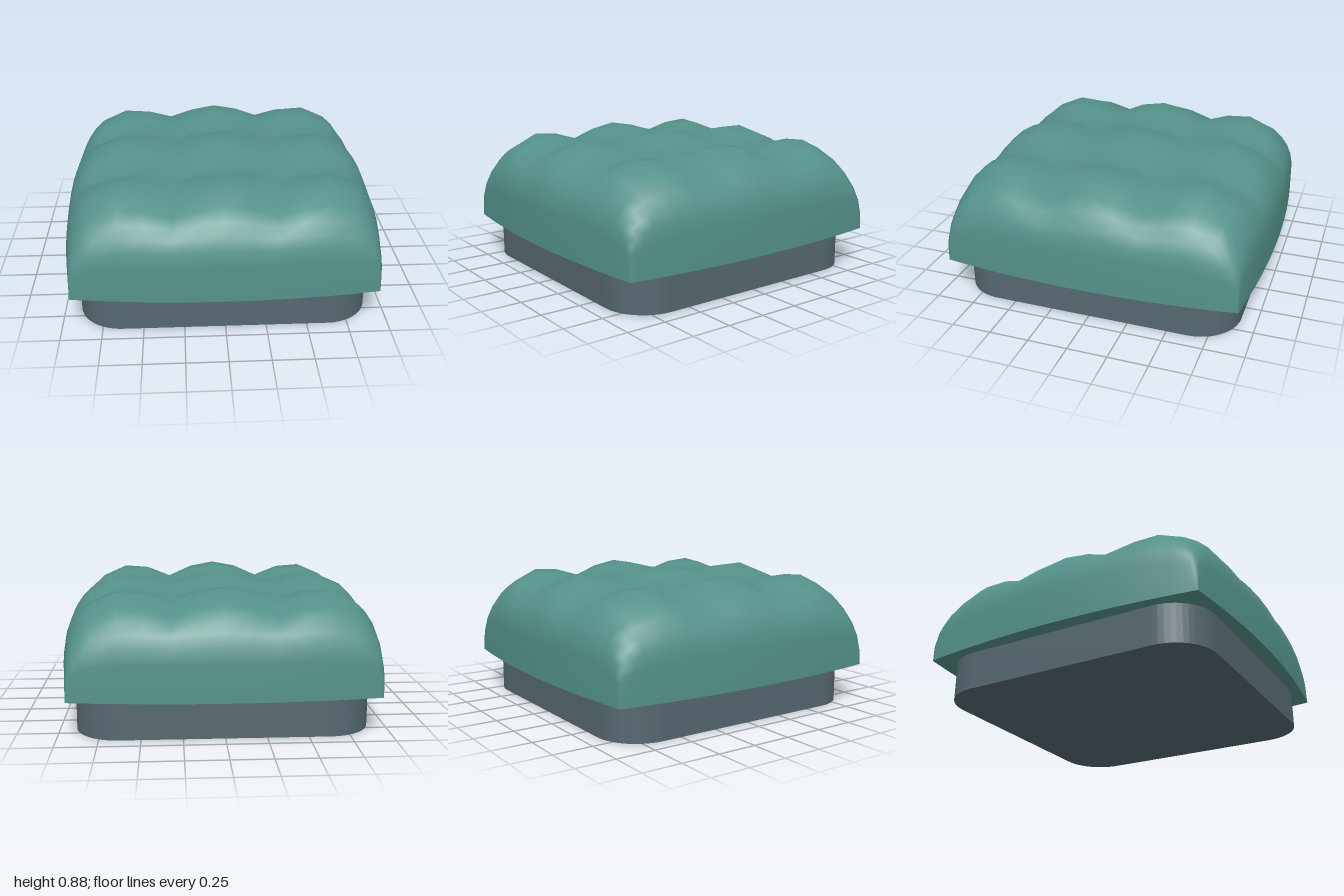
import * as THREE from 'three';

const BASE_Y = 0.245;

// Grid lines across the cushion, packed closer towards the rounded rim
const half = [1 / 6, 1 / 3, 1 / 2, 2 / 3, 5 / 6, 0.9, 0.95, 0.98, 0.996, 1];
const lines = [...half.map(t => -t).reverse(), 0, ...half];

// Domed cushion with a 3 x 3 pattern of puffs
function cushionHeight(u, v) {
  const dome = Math.pow(Math.max(0, (1 - u ** 4) * (1 - v ** 4)), 0.2);
  const puff = Math.abs(Math.cos(1.5 * Math.PI * u) * Math.cos(1.5 * Math.PI * v));
  return BASE_Y + 0.535 * dome + 0.1 * puff;
}

// Square sheet with bowed sides; flip = -1 turns it to face down
function bowedSheet(heightAt, flip) {
  const n = lines.length;
  const geometry = new THREE.PlaneGeometry(2, 2, n - 1, n - 1);
  const position = geometry.attributes.position;
  for (let i = 0; i < position.count; i++) {
    const u = lines[i % n];
    const v = flip * lines[Math.floor(i / n)];
    position.setXYZ(i, u * (1 - 0.067 * v * v), heightAt(u, v), v * (1 - 0.067 * u * u));
  }
  geometry.computeVertexNormals();
  return geometry;
}

// Upright block with rounded corners in plan
function plinthGeometry(h, r, height) {
  const shape = new THREE.Shape();
  const c = h - r;
  [[c, c], [-c, c], [-c, -c], [c, -c]].forEach(([x, y], i) => {
    shape.absarc(x, y, r, i * Math.PI / 2, (i + 1) * Math.PI / 2, false);
  });
  shape.closePath();
  const geometry = new THREE.ExtrudeGeometry(shape, { depth: height, bevelEnabled: false, curveSegments: 6 });
  geometry.rotateX(-Math.PI / 2);
  return geometry;
}

export function createModel() {
  const fabric = new THREE.MeshStandardMaterial({ name: 'teal fabric', color: 0x549189 });
  const slate = new THREE.MeshStandardMaterial({ name: 'slate base', color: 0x55686f });

  const model = new THREE.Group();
  model.name = 'tuftedOttoman';
  const add = (name, geometry, material) => {
    const mesh = new THREE.Mesh(geometry, material);
    mesh.name = name;
    model.add(mesh);
  };

  add('cushionTop', bowedSheet(cushionHeight, 1), fabric);
  add('cushionUnderside', bowedSheet(() => BASE_Y, -1), fabric);
  add('plinth', plinthGeometry(0.9, 0.27, BASE_Y), slate);
  return model;
}
